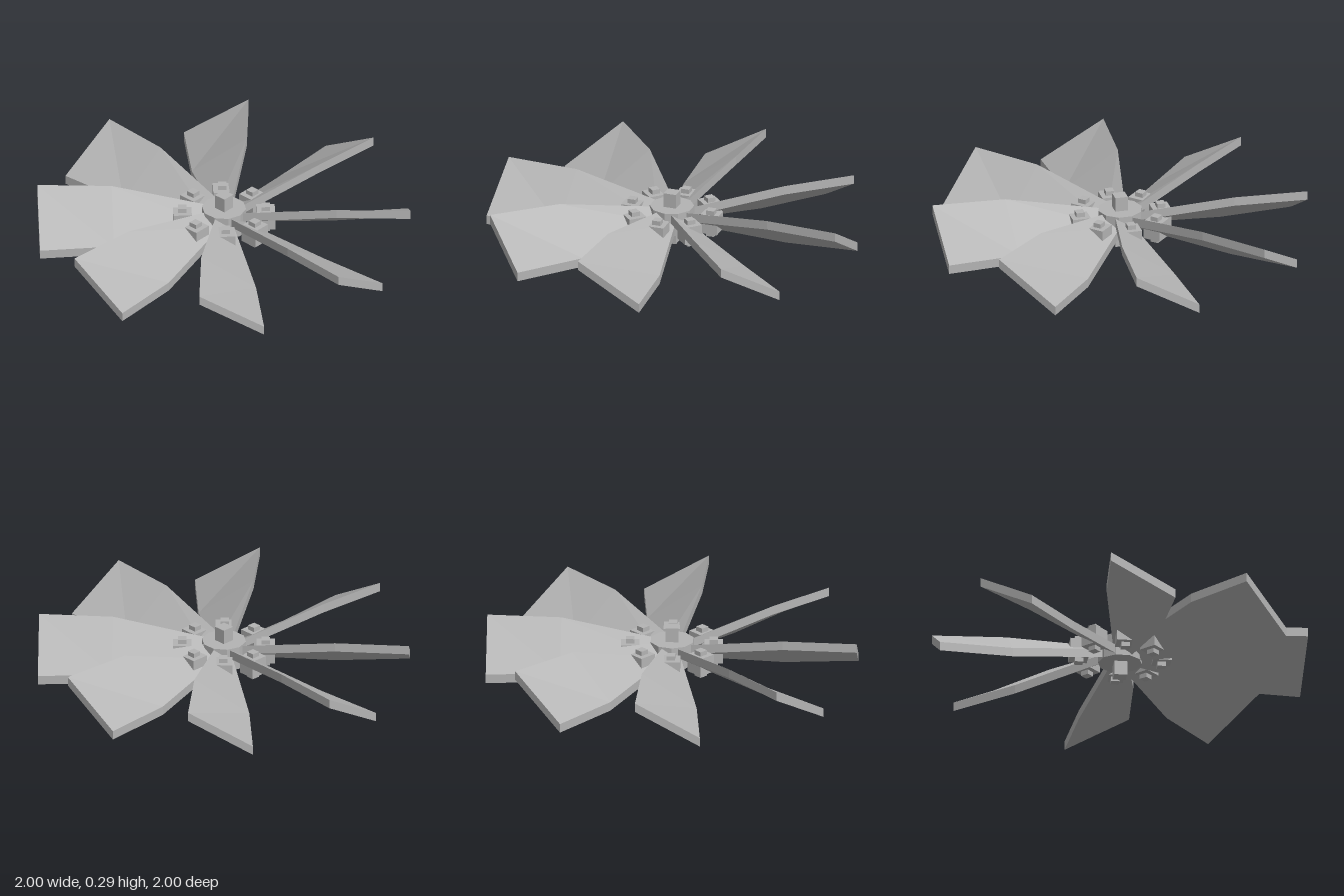
import * as THREE from 'three';

const MID = 0.145; // height of the rotor plane

const grey = new THREE.MeshStandardMaterial({ color: 0xb4b4b4 });
grey.name = 'plain grey';
grey.flatShading = true;

// Pitched blade pointing along +z, made from four-cornered cross-sections
function bladeGeometry() {
  const thick = 0.025;
  const sections = [ // distance, half width, half rise
    [0.08, 0.048, 0.028],
    [0.6, 0.148, 0.1],
    [1, 0.175, 0.1],
  ];
  const positions = [];
  for (const [z, w, rise] of sections) {
    positions.push(
      -w, rise - thick, z,
      w, -rise - thick, z,
      w, -rise + thick, z,
      -w, rise + thick, z,
    );
  }
  const index = [2, 1, 0, 3, 2, 0]; // root cap
  for (let k = 0; k < sections.length - 1; k++) {
    for (let j = 0; j < 4; j++) {
      const a = k * 4 + j;
      const b = k * 4 + (j + 1) % 4;
      index.push(a, b, b + 4, a, b + 4, a + 4);
    }
  }
  const e = (sections.length - 1) * 4;
  index.push(e, e + 1, e + 2, e, e + 2, e + 3); // tip cap
  const indexed = new THREE.BufferGeometry();
  indexed.setAttribute('position', new THREE.Float32BufferAttribute(positions, 3));
  indexed.setIndex(index);
  const geometry = indexed.toNonIndexed();
  geometry.computeVertexNormals();
  return geometry;
}

function addPart(parent, name, geometry, z = 0) {
  const mesh = new THREE.Mesh(geometry, grey);
  mesh.name = name;
  mesh.position.z = z;
  parent.add(mesh);
}

export function createModel() {
  const model = new THREE.Group();
  model.name = 'fan rotor';

  const rotor = new THREE.Group();
  rotor.name = 'rotor';
  rotor.position.y = MID;
  model.add(rotor);

  // Hub disc and square axle
  addPart(rotor, 'hub', new THREE.CylinderGeometry(0.12, 0.12, 0.13, 10));
  addPart(rotor, 'axle', new THREE.BoxGeometry(0.07, 2 * MID, 0.07));

  // Eight blades, each with a clamp block and a bolt through it
  const blade = bladeGeometry();
  const clamp = new THREE.BoxGeometry(0.1, 0.1, 0.1);
  const bolt = new THREE.BoxGeometry(0.046, 0.15, 0.046);
  for (let i = 0; i < 8; i++) {
    const arm = new THREE.Group();
    arm.name = 'bladeArm' + (i + 1);
    arm.rotation.y = i * Math.PI / 4;
    addPart(arm, 'blade', blade);
    addPart(arm, 'clamp', clamp, 0.225);
    addPart(arm, 'bolt', bolt, 0.225);
    rotor.add(arm);
  }
  return model;
}
